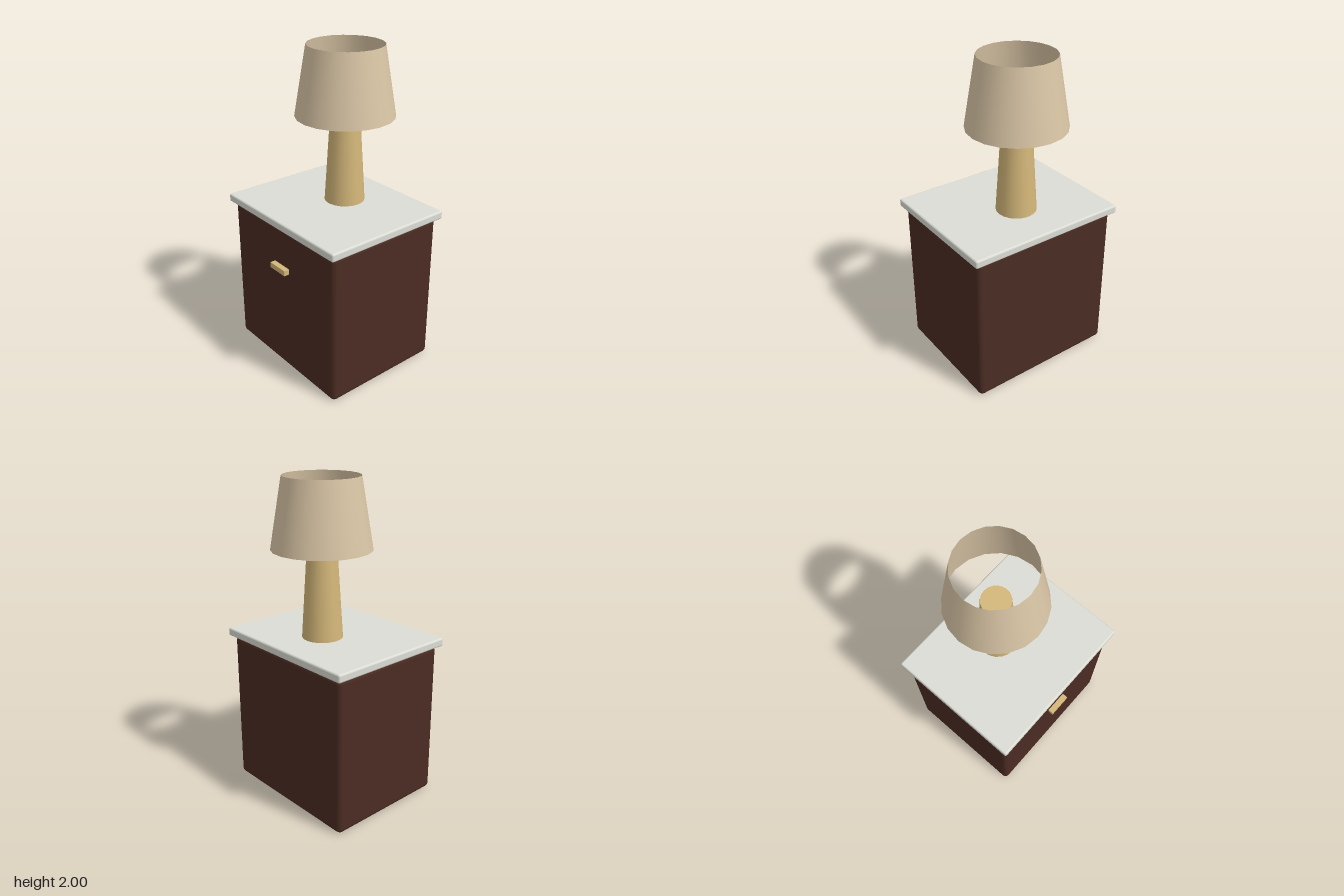
import * as THREE from 'three';
import { RoundedBoxGeometry } from 'three/addons/geometries/RoundedBoxGeometry.js';

function material(name, color, side = THREE.FrontSide) {
  const m = new THREE.MeshStandardMaterial({ color, side });
  m.name = name;
  return m;
}

export function createModel() {
  const group = new THREE.Group();
  group.name = 'nightstandWithLamp';

  const wood = material('darkWood', 0x4a2c22);
  const stone = material('paleStone', 0xdcddd5);
  const brass = material('brass', 0xd4b77a);
  const linen = material('linen', 0xdac6a6, THREE.DoubleSide);

  const add = (name, geometry, mat, x, y, z) => {
    const mesh = new THREE.Mesh(geometry, mat);
    mesh.name = name;
    mesh.position.set(x, y, z);
    group.add(mesh);
  };

  // Cabinet with softened edges, slab top and drawer pull
  add('cabinet', new RoundedBoxGeometry(0.98, 0.98, 0.8, 3, 0.03), wood, 0, 0.493, -0.003);
  add('slabTop', new RoundedBoxGeometry(1.034, 0.052, 0.856, 3, 0.012), stone, 0, 1.01, -0.003);
  add('drawerPull', new RoundedBoxGeometry(0.144, 0.036, 0.05, 1, 0.002), brass, 0, 0.718, 0.407);

  // Lamp: tapered stem and an open shade
  const lampZ = -0.095, stemTop = 1.605, stemBottom = 1.035;
  add('lampStem', new THREE.CylinderGeometry(0.0886, 0.125, stemTop - stemBottom, 20),
    brass, 0, (stemTop + stemBottom) / 2, lampZ);
  add('lampShade', new THREE.CylinderGeometry(0.23, 0.302, 0.423, 20, 1, true),
    linen, 0, 1.7885, lampZ);

  return group;
}
